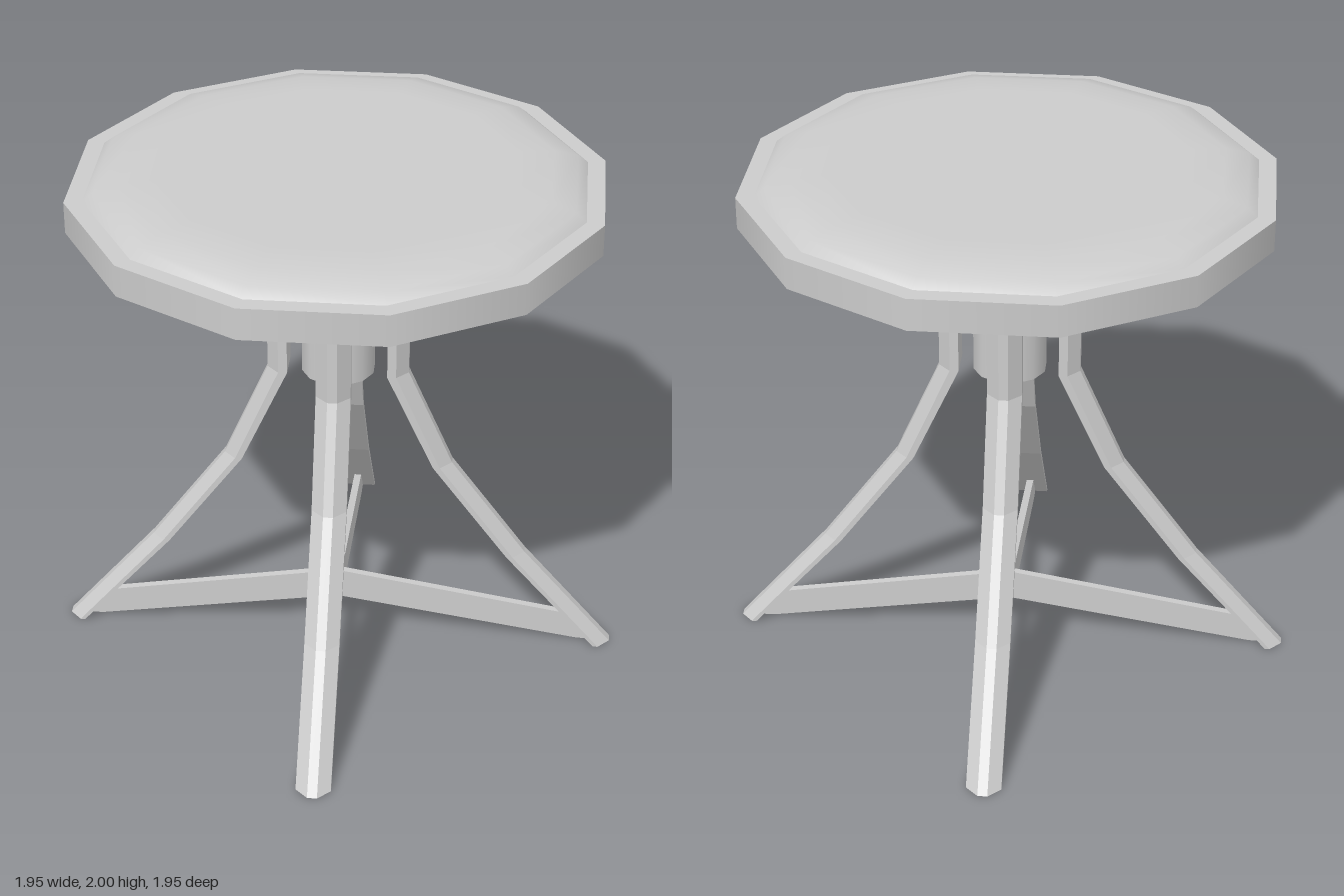
import * as THREE from 'three';

const material = new THREE.MeshStandardMaterial({ color: 0xcccccc });

function addMesh(parent, name, geometry, y = 0) {
  const mesh = new THREE.Mesh(geometry, material);
  mesh.name = name;
  mesh.position.y = y;
  parent.add(mesh);
  return mesh;
}

// Leg running out along +z: a six-sided section with chamfered outer edges,
// placed at each station [height, outer reach, depth].
function legGeometry() {
  const stations = [
    [0, 1.06, 0.062],
    [0.4, 0.716, 0.068],
    [0.79, 0.43, 0.07],
    [1.175, 0.262, 0.077],
    [1.65, 0.262, 0.077],
  ];
  const halfWidth = 0.064, halfFlat = 0.018, chamfer = 0.044, n = 6;
  const positions = [], index = [];
  for (const [y, outer, depth] of stations) {
    const shoulder = outer - chamfer, inner = outer - depth;
    positions.push(
      halfWidth, y, shoulder, halfWidth, y, inner,
      -halfWidth, y, inner, -halfWidth, y, shoulder,
      -halfFlat, y, outer, halfFlat, y, outer,
    );
  }
  for (let s = 0; s < stations.length - 1; s++) {
    for (let i = 0; i < n; i++) {
      const a = s * n + i, b = s * n + (i + 1) % n;
      index.push(a, b, b + n, a, b + n, a + n);
    }
  }
  // End caps
  const top = (stations.length - 1) * n;
  for (let i = 1; i < n - 1; i++) {
    index.push(0, i + 1, i, top, top + i, top + i + 1);
  }
  const indexed = new THREE.BufferGeometry();
  indexed.setAttribute('position', new THREE.Float32BufferAttribute(positions, 3));
  indexed.setIndex(index);
  const geometry = indexed.toNonIndexed();
  geometry.computeVertexNormals();
  return geometry;
}

// Thin chevron-shaped bar joining two opposite legs
function braceGeometry() {
  const thickness = 0.028;
  const shape = new THREE.Shape([
    [0, 0.145], [0.935, 0.002], [0.99, 0.002], [0.92, 0.112], [0, 0.265],
    [-0.92, 0.112], [-0.99, 0.002], [-0.935, 0.002],
  ].map(([x, y]) => new THREE.Vector2(x, y)));
  const geometry = new THREE.ExtrudeGeometry(shape, { depth: thickness, bevelEnabled: false });
  return geometry.translate(0, 0, -thickness / 2);
}

export function createModel() {
  const stool = new THREE.Group();
  stool.name = 'stool';

  // Seat: twelve-sided board with a softly rounded pad
  addMesh(stool, 'seatBoard', new THREE.CylinderGeometry(0.975, 0.975, 0.118, 12), 1.879);
  const padProfile = [[0.91, 1.938], [0.873, 1.968], [0.783, 1.994], [0.65, 2], [0, 2]]
    .map(([x, y]) => new THREE.Vector2(x, y));
  addMesh(stool, 'seatPad', new THREE.LatheGeometry(padProfile, 12));

  // Central column with a flared head under the seat
  addMesh(stool, 'column', new THREE.CylinderGeometry(0.137, 0.137, 0.455, 12), 1.4025);
  addMesh(stool, 'columnFlare', new THREE.CylinderGeometry(0.17, 0.137, 0.19, 12, 1, true), 1.725);

  // Four legs on the diagonals
  const leg = legGeometry();
  for (let i = 0; i < 4; i++) {
    addMesh(stool, 'leg', leg).rotation.y = Math.PI / 4 + i * Math.PI / 2;
  }

  // Two crossing braces
  const brace = braceGeometry();
  for (const side of [1, -1]) {
    addMesh(stool, 'crossBrace', brace).rotation.y = side * Math.PI / 4;
  }
  return stool;
}
